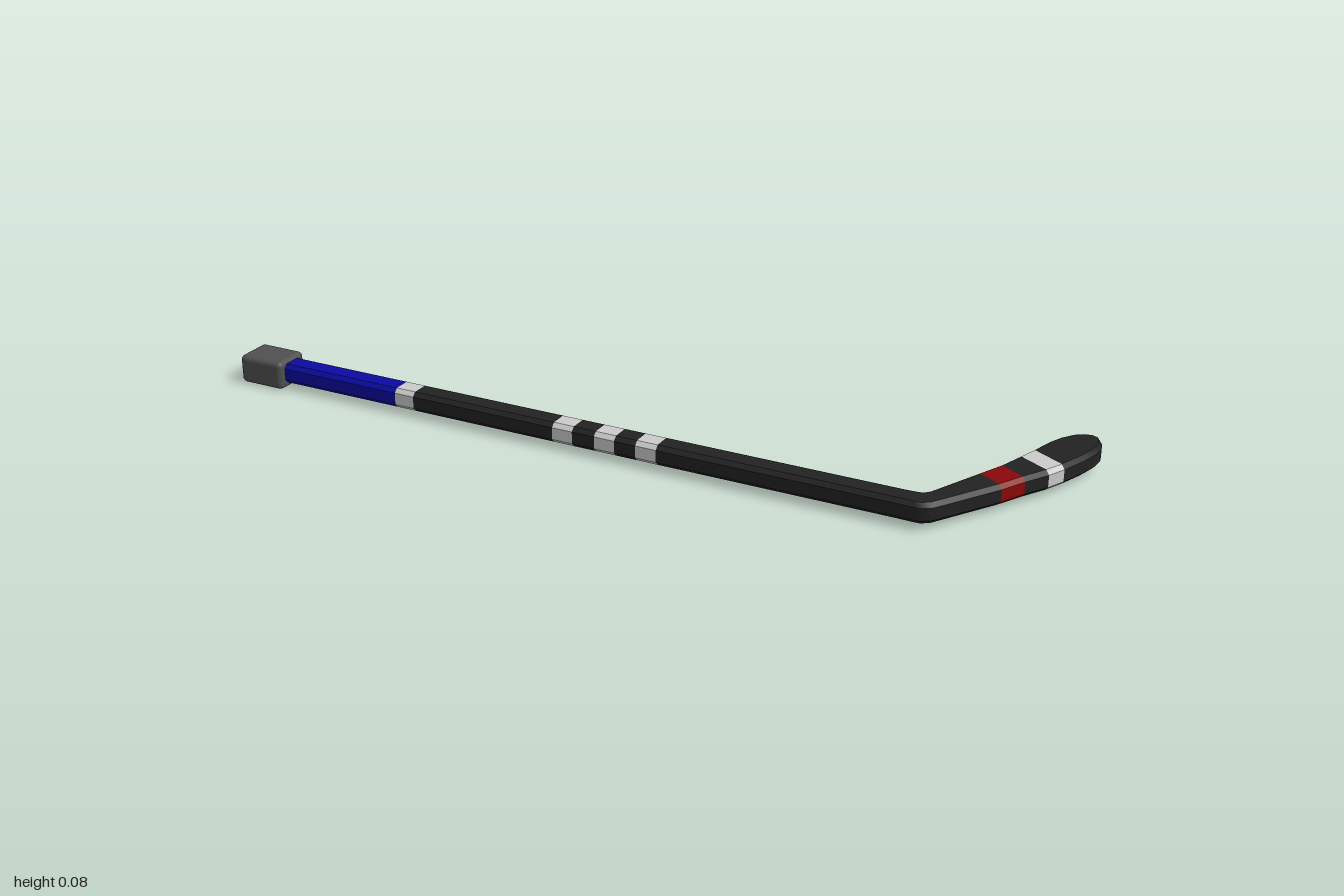
import * as THREE from 'three';
import { toCreasedNormals } from 'three/addons/utils/BufferGeometryUtils.js';
import { RoundedBoxGeometry } from 'three/addons/geometries/RoundedBoxGeometry.js';

const MID_Y = 0.043;
const HALF_HEIGHT = 0.0275;
const CHAMFER = 0.011;
const HALF_WIDTH = 0.0345;
const ANGLE = 0.34; // heading of the shaft in the ground plane
const BUTT = [-0.92, 0.58];

const paint = (color) => new THREE.MeshStandardMaterial({ color, roughness: 0.8 });

// Shaft station at distance s from the butt: inner edge x,z and outer edge x,z
function shaftStation(s) {
  const c = Math.cos(ANGLE), n = Math.sin(ANGLE);
  const x = BUTT[0] + c * s, z = BUTT[1] - n * s;
  return [x - n * HALF_WIDTH, z - c * HALF_WIDTH, x + n * HALF_WIDTH, z + c * HALF_WIDTH];
}

// Chamfered rectangular ring spanning a station; an optional fifth value scales its height
function ring([ix, iz, ox, oz, tall = 1]) {
  const w = Math.hypot(ox - ix, oz - iz) / 2;
  const h = HALF_HEIGHT * tall;
  const c = Math.min(CHAMFER, w * 0.5);
  const corners = [
    [-(w - c), h], [w - c, h], [w, h - c], [w, c - h],
    [w - c, -h], [c - w, -h], [-w, c - h], [-w, h - c],
  ];
  return corners.map(([u, y]) => {
    const t = (u / w + 1) / 2;
    return [ix + (ox - ix) * t, MID_Y + y, iz + (oz - iz) * t];
  });
}

// Skin a run of stations, closing the far end if asked
function loft(name, color, stations, closeEnd = false) {
  const rings = stations.map(ring);
  const position = [];
  const tri = (a, b, c) => position.push(...a, ...b, ...c);
  for (let k = 0; k < rings.length - 1; k++) {
    const a = rings[k], b = rings[k + 1];
    for (let i = 0; i < 8; i++) {
      const j = (i + 1) % 8;
      tri(a[i], a[j], b[j]);
      tri(a[i], b[j], b[i]);
    }
  }
  if (closeEnd) {
    const e = rings[rings.length - 1];
    for (let i = 1; i < 7; i++) tri(e[0], e[i], e[i + 1]);
  }
  const geometry = new THREE.BufferGeometry();
  geometry.setAttribute('position', new THREE.Float32BufferAttribute(position, 3));
  const mesh = new THREE.Mesh(toCreasedNormals(geometry, 0.6), paint(color));
  mesh.name = name;
  return mesh;
}

export function createModel() {
  const group = new THREE.Group();
  group.name = 'hockeyStick';
  const BLACK = 0x222222, WHITE = 0xcccccc, RED = 0x8a0808, BLUE = 0x0a0aa0;

  // Butt cap
  const cap = new THREE.Mesh(new RoundedBoxGeometry(0.138, 0.08, 0.108, 3, 0.014), paint(0x505050));
  cap.name = 'buttCap';
  cap.position.set(BUTT[0], 0.041, BUTT[1]);
  cap.rotation.y = ANGLE;
  group.add(cap);

  // Shaft: blue grip, then black lengths separated by white bands
  let start = 0;
  [0.461, 0.944, 1.066, 1.184].forEach((s, i) => {
    const a = s - 0.029, b = s + 0.029;
    group.add(loft(i ? 'shaft' : 'grip', i ? BLACK : BLUE, [shaftStation(start), shaftStation(a)]));
    group.add(loft('shaftBand', WHITE, [shaftStation(a), shaftStation(b)]));
    start = b;
  });

  // Edges of the blade at each colour change
  const redStart = [0.871, -0.26, 0.959, -0.243];
  const redEnd = [0.88, -0.335, 0.972, -0.318];
  const whiteStart = [0.881, -0.41, 0.989, -0.39];
  const whiteEnd = [0.881, -0.465, 0.996, -0.443];

  // Rest of the shaft, turning through the heel into the blade
  group.add(loft('shaftAndHeel', BLACK, [
    shaftStation(start),
    shaftStation(1.855),
    [0.842, -0.082, 0.872, -0.016],
    [0.847, -0.086, 0.892, -0.025],
    [0.85, -0.091, 0.908, -0.047],
    [0.853, -0.1, 0.919, -0.086],
    [0.862, -0.18, 0.939, -0.165],
    redStart,
  ]));

  // Blade
  group.add(loft('bladeRedBand', RED, [redStart, redEnd]));
  group.add(loft('bladeMiddle', BLACK, [redEnd, whiteStart]));
  group.add(loft('bladeWhiteBand', WHITE, [whiteStart, whiteEnd]));
  group.add(loft('bladeTip', BLACK, [
    whiteEnd,
    [0.879, -0.53, 1.0, -0.52],
    [0.883, -0.572, 0.998, -0.57],
    [0.893, -0.61, 0.988, -0.61, 0.97],
    [0.908, -0.635, 0.972, -0.635, 0.93],
    [0.924, -0.648, 0.957, -0.648, 0.85],
  ], true));

  return group;
}
